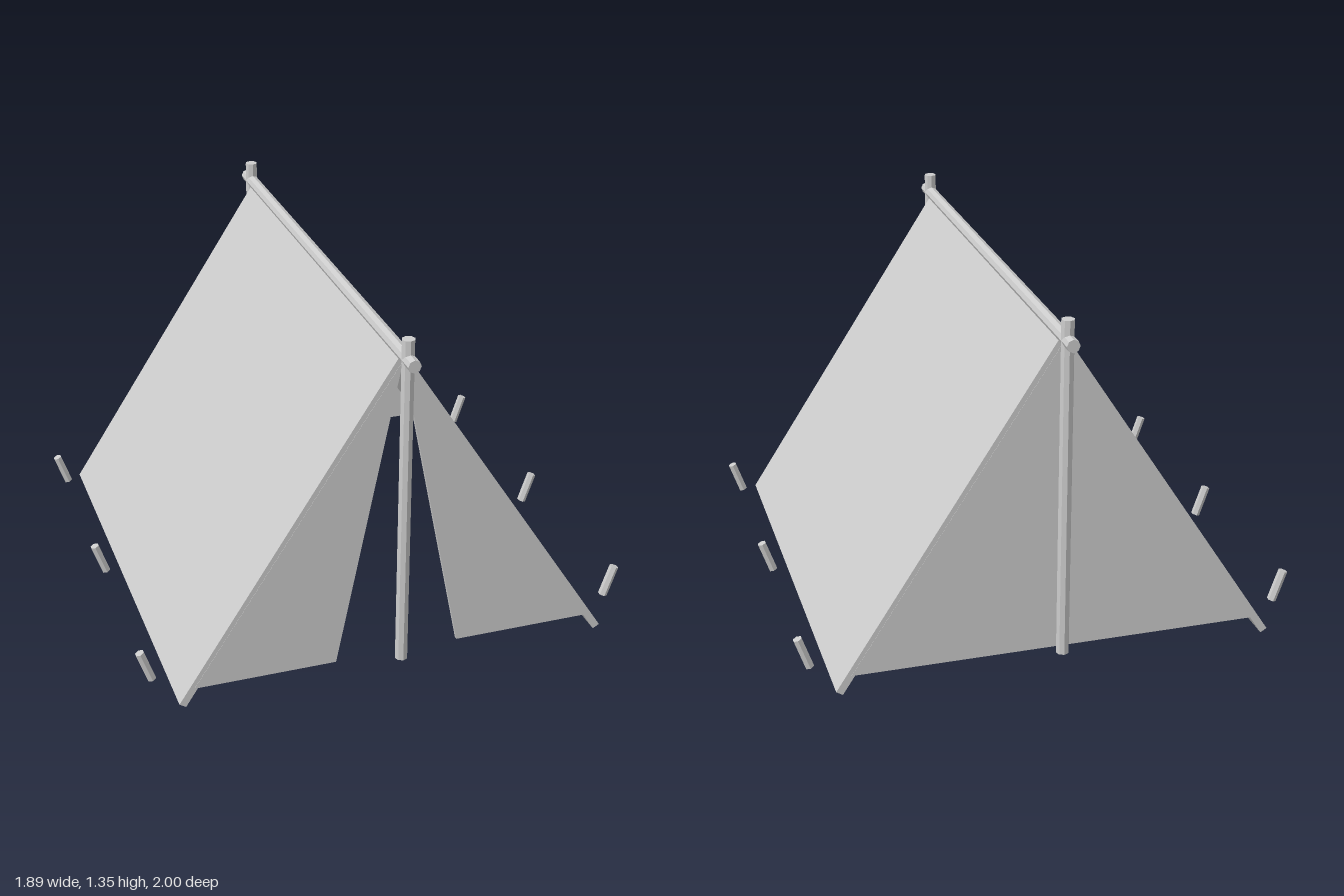
import * as THREE from 'three';

export function createModel() {
  const group = new THREE.Group();
  group.name = 'tent';
  const grey = new THREE.MeshStandardMaterial({ color: 0xcccccc, flatShading: true });
  grey.name = 'plain grey';

  const add = (name, geometry, x = 0, y = 0, z = 0) => {
    const mesh = new THREE.Mesh(geometry, grey);
    mesh.name = name;
    mesh.position.set(x, y, z);
    group.add(mesh);
    return mesh;
  };

  // Flat plate in the xy plane from a list of corners
  const plate = (corners, depth) => new THREE.ExtrudeGeometry(
    new THREE.Shape(corners.map(([x, y]) => new THREE.Vector2(x, y))),
    { depth, bevelEnabled: false });

  // Ridge pole and the two upright poles
  const ridge = add('ridgePole', new THREE.CylinderGeometry(0.024, 0.024, 2, 8), 0, 1.275, 0);
  ridge.rotation.x = Math.PI / 2;
  for (const s of [1, -1]) {
    add(s > 0 ? 'frontPole' : 'backPole',
      new THREE.CylinderGeometry(0.024, 0.024, 1.275, 8), 0, 0.7125, s * 0.935);
  }

  for (const s of [1, -1]) {
    const side = s > 0 ? 'left' : 'right';

    // Sloping canvas sheet
    add(side + 'Roof', plate(
      [[0, 1.286], [0, 1.244], [s * 0.798, 0.003], [s * 0.822, 0.018]], 1.78), 0, 0, -0.89);

    // Door flap, leaving a triangular opening in the middle
    add(side + 'DoorFlap', plate(
      [[0, 1.25], [s * 0.235, 0.075], [s * 0.765, 0.075]], 0.015), 0, 0, 0.876);

    // Pegs leaning outwards along the side
    for (const z of [-0.77, 0, 0.77]) {
      const peg = add(side + 'Peg', new THREE.CylinderGeometry(0.0175, 0.0175, 0.125, 6),
        s * 0.912, 0.125, z);
      peg.rotation.z = -s * 0.33;
    }
  }

  // Closed back wall
  add('backWall', plate([[0, 1.25], [-0.765, 0.075], [0.765, 0.075]], 0.015), 0, 0, -0.891);

  return group;
}
